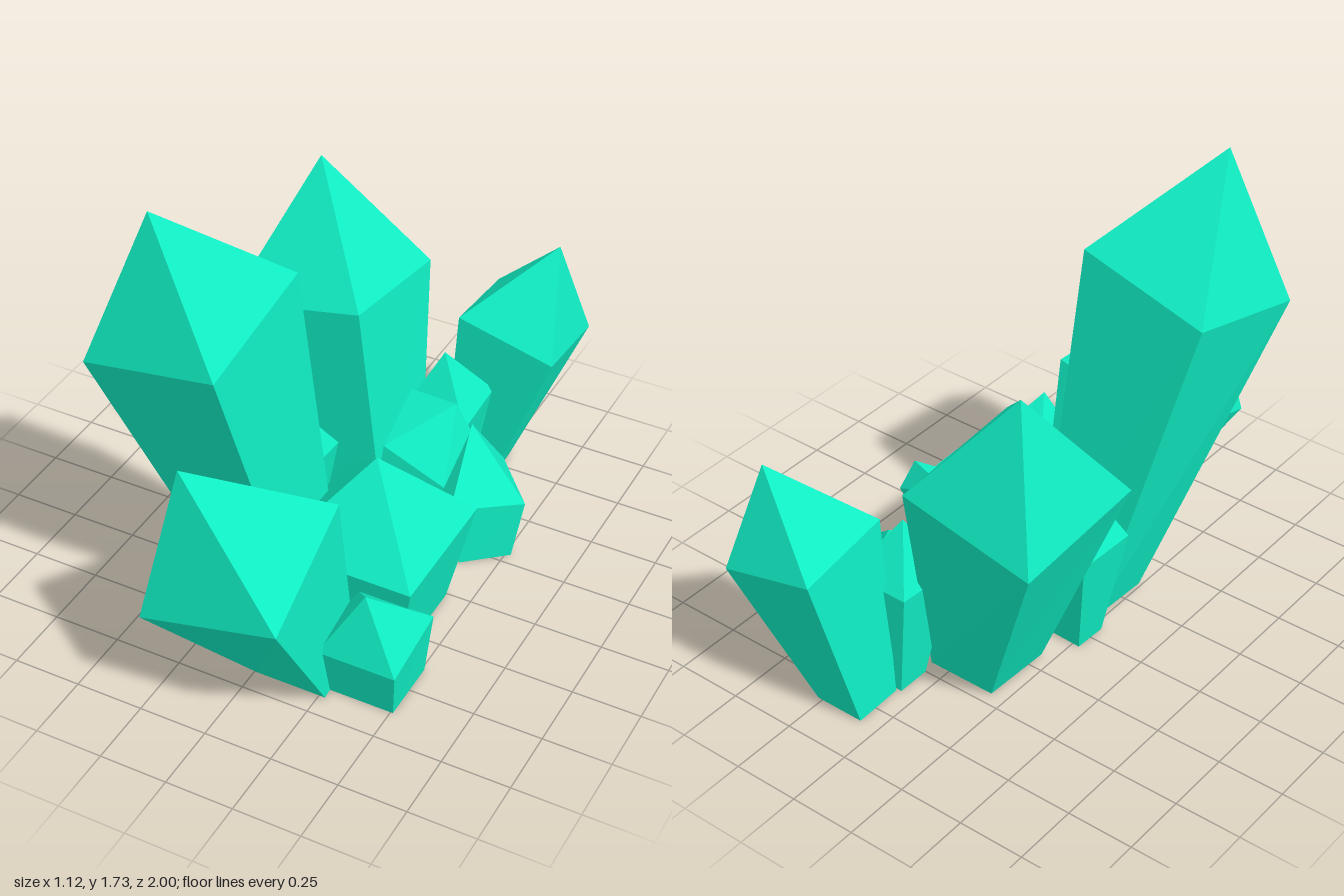
import * as THREE from 'three';

// One crystal: small square base on the ground, wider tilted shoulder, pointed tip.
// u and v are the half-edges of the shoulder (sideways and forward).
function crystalGeometry({ base, scale, mid, u, v, tip }) {
  const signs = [[-1, 1], [1, 1], [1, -1], [-1, -1]];
  const ring = signs.map(([a, b]) => mid.map((c, k) => c + a * u[k] + b * v[k]));
  const foot = signs.map(([a, b]) => [
    base[0] + scale * (a * u[0] + b * v[0]), 0, base[1] + scale * (a * u[2] + b * v[2]),
  ]);
  const tris = [];
  for (let i = 0; i < 4; i++) {
    const j = (i + 1) % 4;
    tris.push(foot[i], foot[j], ring[j], foot[i], ring[j], ring[i]); // side
    tris.push(ring[i], ring[j], tip); // point
  }
  tris.push(foot[0], foot[2], foot[1], foot[0], foot[3], foot[2]); // underside
  const geo = new THREE.BufferGeometry();
  geo.setAttribute('position', new THREE.Float32BufferAttribute(tris.flat(), 3));
  geo.computeVertexNormals();
  return geo;
}

const crystals = {
  tallCrystal: { base: [-0.1, 0.23], scale: 0.52, mid: [-0.3, 1.275, 0.495],
    u: [0.255, 0.055, 0.02], v: [-0.01, -0.06, 0.255], tip: [-0.36, 1.73, 0.62] },
  frontCrystal: { base: [0.13, 0.535], scale: 0.52, mid: [0.005, 0.565, 0.75],
    u: [0.255, 0.062, 0], v: [0.02, -0.083, 0.25], tip: [-0.1, 1.03, 0.93] },
  backCrystal: { base: [-0.06, -0.315], scale: 0.52, mid: [-0.275, 0.88, -0.41],
    u: [0.257, 0.055, 0], v: [-0.01, 0.035, 0.26], tip: [-0.36, 1.33, -0.5] },
  middleCrystal: { base: [0.22, 0.195], scale: 0.72, mid: [0.22, 0.37, 0.19],
    u: [0.26, 0, 0], v: [0, 0, 0.26], tip: [0.22, 0.68, 0.19] },
  rearCornerCrystal: { base: [0.175, -0.735], scale: 0.52, mid: [0.31, 0.64, -0.815],
    u: [0.185, -0.047, 0], v: [0.005, 0.028, 0.185], tip: [0.405, 0.96, -0.88] },
  smallRearCrystal: { base: [0.13, -0.565], scale: 0.52, mid: [0.145, 0.42, -0.525],
    u: [0.125, 0, 0], v: [0, -0.01, 0.125], tip: [0.135, 0.64, -0.51] },
  smallMiddleCrystal: { base: [0.135, -0.045], scale: 0.52, mid: [0.24, 0.53, -0.16],
    u: [0.12, -0.045, 0.005], v: [0.005, -0.045, 0.117], tip: [0.31, 0.65, -0.24] },
  turnedCrystal: { base: [0.38, -0.315], scale: 0.7, mid: [0.355, 0.235, -0.345],
    u: [0.095, 0.01, 0.115], v: [-0.105, 0.01, 0.09], tip: [0.3, 0.45, -0.4] },
  smallFrontCrystal: { base: [0.39, 0.505], scale: 0.82, mid: [0.39, 0.225, 0.525],
    u: [0.145, 0, 0], v: [0, -0.025, 0.145], tip: [0.39, 0.45, 0.6] },
  smallSideCrystal: { base: [-0.215, 0], scale: 0.52, mid: [-0.22, 0.42, 0],
    u: [0.125, 0, 0.006], v: [-0.005, 0, 0.122], tip: [-0.22, 0.65, 0.02] },
};

export function createModel() {
  const group = new THREE.Group();
  group.name = 'crystalCluster';
  const material = new THREE.MeshStandardMaterial({ color: 0x10eec4, flatShading: true });
  for (const [name, spec] of Object.entries(crystals)) {
    const mesh = new THREE.Mesh(crystalGeometry(spec), material);
    mesh.name = name;
    group.add(mesh);
  }
  return group;
}
